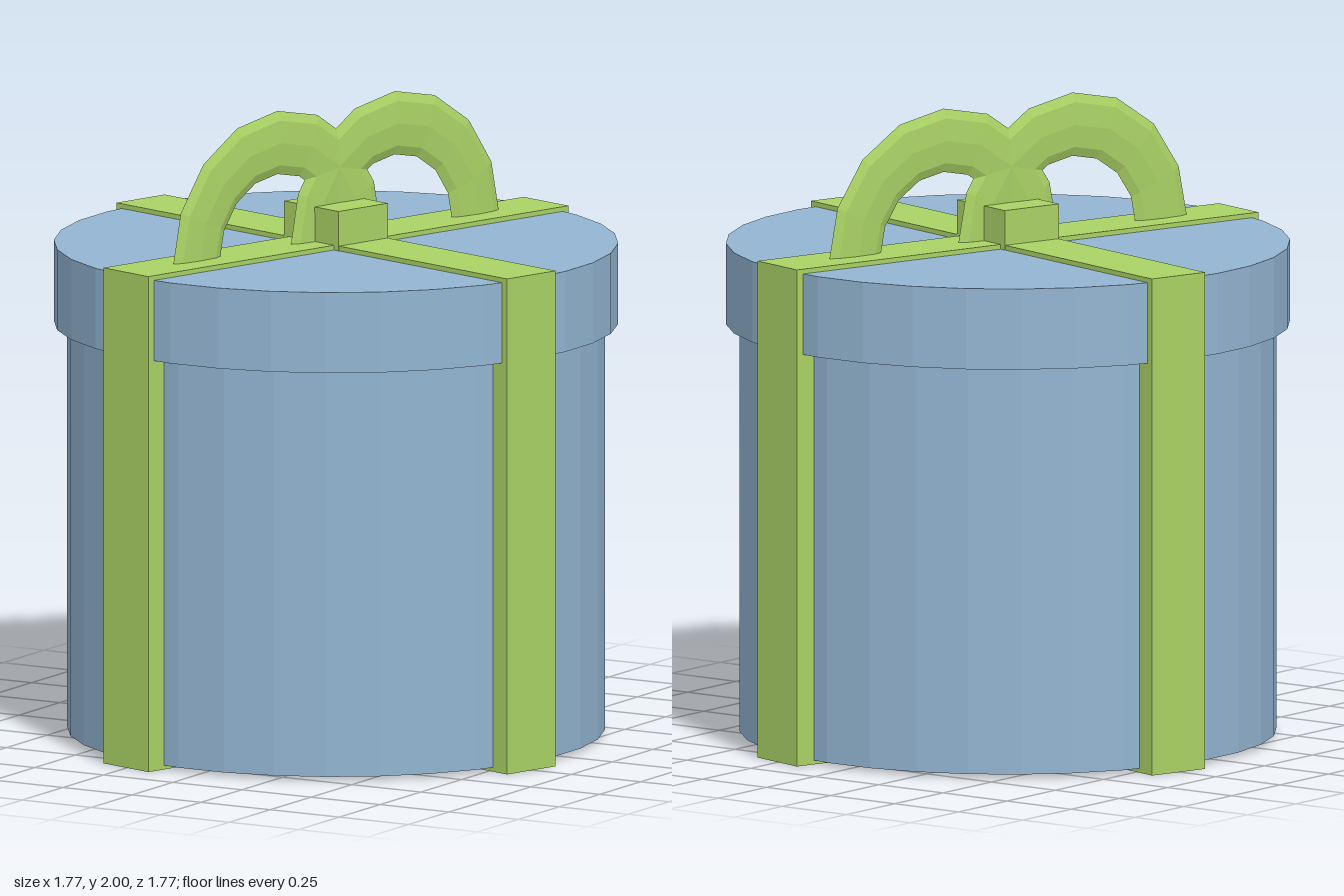
import * as THREE from 'three';

const blue = new THREE.MeshStandardMaterial({ color: 0x93b5d2, flatShading: true });
blue.name = 'boxBlue';
const green = new THREE.MeshStandardMaterial({ color: 0xaad265, flatShading: true });
green.name = 'ribbonGreen';

const LID_TOP = 1.555;

function add(parent, name, geometry, material, x, y, z) {
  const mesh = new THREE.Mesh(geometry, material);
  mesh.name = name;
  mesh.position.set(x, y, z);
  parent.add(mesh);
  return mesh;
}

// Upright 32-sided drum between two heights
function drum(parent, name, radius, y0, y1) {
  add(parent, name, new THREE.CylinderGeometry(radius, radius, y1 - y0, 32), blue, 0, (y0 + y1) / 2, 0);
}

export function createModel() {
  const model = new THREE.Group();
  model.name = 'giftBox';
  const gift = new THREE.Group();
  gift.name = 'turnedGift';
  gift.rotation.y = THREE.MathUtils.degToRad(-16.5);
  model.add(gift);

  // Round box and its wider lid
  drum(gift, 'boxBody', 0.838, 0.013, 1.31);
  drum(gift, 'lid', 0.88, 1.3, LID_TOP);

  // Two ribbons wrapped right around the box
  const length = 1.788, height = 1.57, width = 0.206;
  add(gift, 'ribbonAcross', new THREE.BoxGeometry(length, height, width), green, 0, height / 2, 0);
  add(gift, 'ribbonAlong', new THREE.BoxGeometry(width, height, length), green, 0, height / 2, 0);

  // Bow: two flattened half rings that cross at the knot
  for (const side of [1, -1]) {
    const loop = new THREE.TorusGeometry(0.345, 0.1, 8, 8, Math.PI);
    loop.scale(1, 1, 0.18);
    loop.rotateY(Math.PI / 2);
    add(gift, side > 0 ? 'frontBowLoop' : 'backBowLoop', loop, green, 0, LID_TOP, side * 0.25);
  }

  // Knot block
  add(gift, 'knot', new THREE.BoxGeometry(0.25, 0.125, 0.21), green, 0, 1.6175, 0);

  return model;
}
